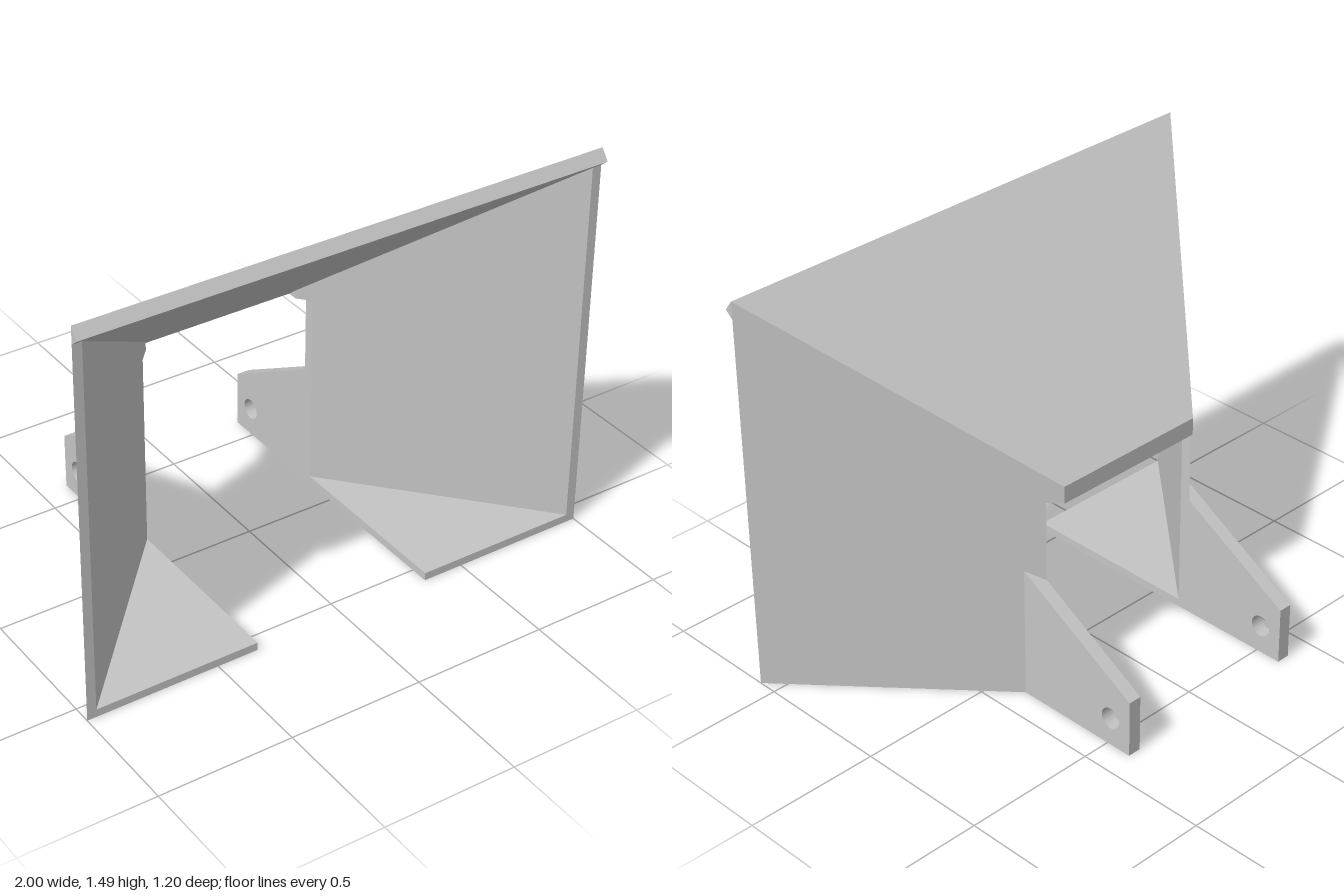
import * as THREE from 'three';
import { toCreasedNormals } from 'three/addons/utils/BufferGeometryUtils.js';

const FRONT = 0.57, BACK = -0.21, WIDE = 1, NARROW = 0.305, GAP = 0.345;
const SLOPE = (FRONT - BACK) / (WIDE - NARROW);

// Outer wall plane in plan, and the underside of the sloping hood
const wallZ = (x) => BACK + (Math.abs(x) - NARROW) * SLOPE;
const halfWidth = (z) => Math.min(WIDE, NARROW + (z - BACK) / SLOPE);
const underside = (z) => 0.77 + (z - BACK) * 0.833;

const outline = (points) => new THREE.Shape(points.map(([x, y]) => new THREE.Vector2(x, y)));
const extrude = (shape, depth) =>
  new THREE.ExtrudeGeometry(shape, { depth, bevelEnabled: false, curveSegments: 24 });

// Move every vertex by a rule
function reshape(geometry, rule) {
  const p = geometry.attributes.position;
  const v = new THREE.Vector3();
  for (let i = 0; i < p.count; i++) {
    rule(v.fromBufferAttribute(p, i));
    p.setXYZ(i, v.x, v.y, v.z);
  }
  return geometry;
}

// Sloping plate with a square-cut front lip, tapering towards the back
function hoodGeometry() {
  const profile = [[FRONT, 1.485], [0.6, 1.445], [FRONT, underside(FRONT)], [BACK, 0.77], [BACK, 0.835]];
  const g = extrude(outline(profile.map(([z, y]) => [-z, y])), 2).rotateY(Math.PI / 2).translate(-1, 0, 0);
  return reshape(g, (v) => { v.x = Math.sign(v.x) * halfWidth(v.z); });
}

// Angled side wall, notched below the hood at the back
function wallGeometry(s) {
  const points = [[GAP, 0], [WIDE, 0], [WIDE, 1.4], [NARROW, 0.78], [NARROW, 0.77], [GAP, 0.77]];
  const g = extrude(outline(points.map(([x, y]) => [x * s, y])), 0.04);
  return reshape(g, (v) => {
    const inner = v.z > 0.02;
    const top = v.y > 0.775;
    v.z += wallZ(v.x);
    if (inner && v.z > FRONT) {
      v.x = s * 0.965;
      v.z = FRONT;
    }
    if (top) v.y = underside(v.z) + 0.005;
  });
}

// Triangular floor plate
function floorGeometry(s) {
  const points = [[GAP, wallZ(GAP)], [WIDE, FRONT], [GAP, FRONT]];
  return extrude(outline(points.map(([x, z]) => [x * s, -z])), 0.03).rotateX(-Math.PI / 2);
}

// Rear mounting arm with a pin hole, mitred against the wall
function armGeometry(s) {
  const shape = outline([[0.107, 0], [0.6, 0], [0.6, 0.215], [0.107, 0.5]]);
  shape.holes.push(new THREE.Path().absarc(0.513, 0.107, 0.04, 0, Math.PI * 2, true));
  const g = extrude(shape, 0.05).rotateY(Math.PI / 2).translate(s > 0 ? GAP : -GAP - 0.05, 0, 0);
  reshape(g, (v) => {
    if (v.z < -0.2) return;
    v.z = wallZ(v.x);
    if (v.y > 0.1) v.y = 0.5 + (v.z + 0.107) * 0.578;
  });
  return toCreasedNormals(g, 0.5);
}

export function createModel() {
  const model = new THREE.Group();
  model.name = 'deflectorHood';
  const grey = new THREE.MeshStandardMaterial({ color: 0xc4c4c4 });
  grey.name = 'plain grey';

  const add = (name, geometry) => {
    geometry.computeVertexNormals();
    const mesh = new THREE.Mesh(geometry, grey);
    mesh.name = name;
    model.add(mesh);
  };

  add('hood', hoodGeometry());
  for (const [side, s] of [['left', 1], ['right', -1]]) {
    add(side + 'Wall', wallGeometry(s));
    add(side + 'Floor', floorGeometry(s));
    const arm = new THREE.Mesh(armGeometry(s), grey);
    arm.name = side + 'Arm';
    model.add(arm);
  }
  return model;
}
